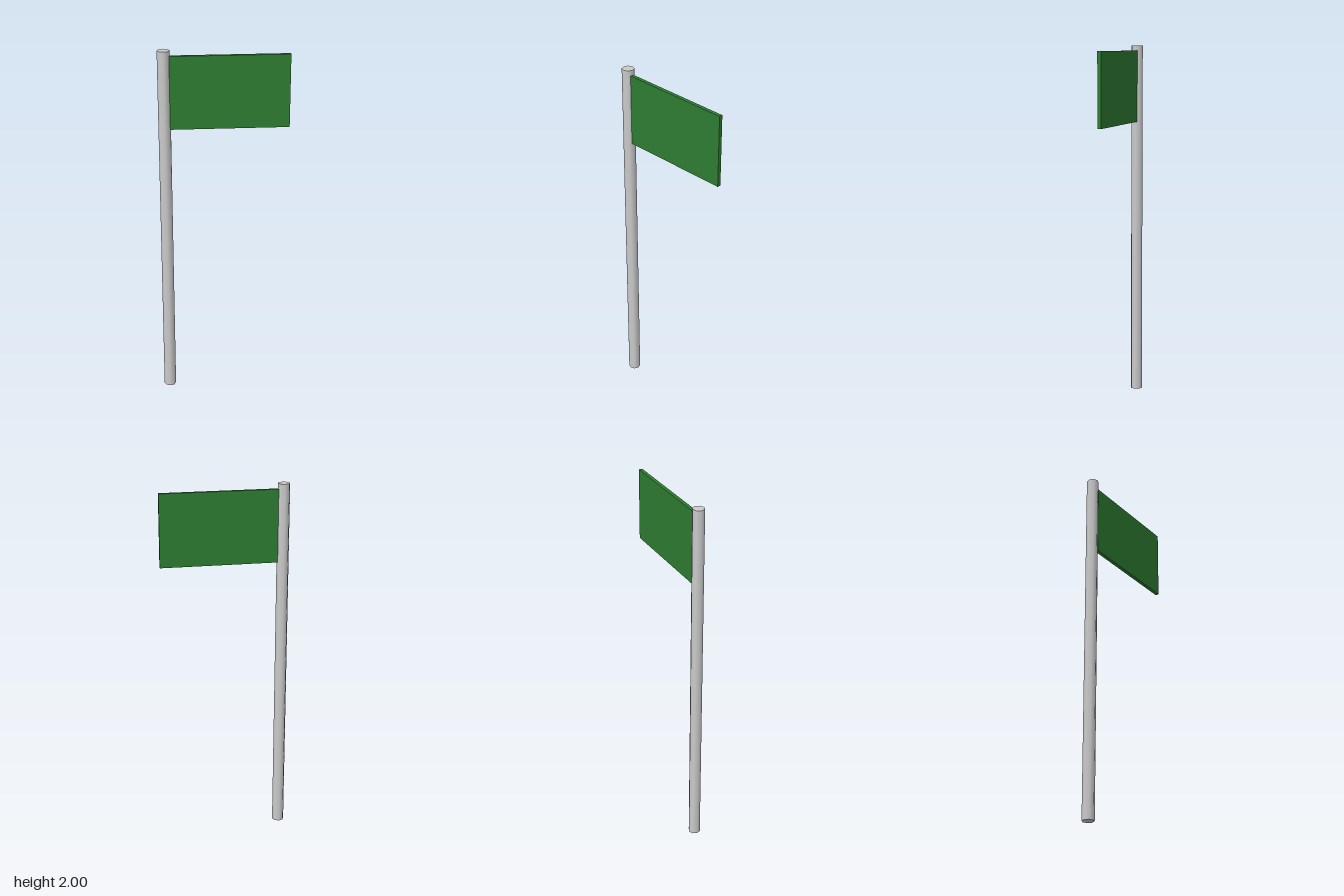
import * as THREE from 'three';

const POLE_X = -0.3167;
const POLE_RADIUS = 0.0333;

export function createModel() {
  const group = new THREE.Group();
  group.name = 'signPost';

  const add = (name, geometry, color, x, y) => {
    const mesh = new THREE.Mesh(geometry, new THREE.MeshStandardMaterial({ color }));
    mesh.name = name;
    mesh.position.set(x, y, 0);
    group.add(mesh);
  };

  // Eight-sided pole, smooth around its length, closed at both ends
  add('pole', new THREE.CylinderGeometry(POLE_RADIUS, POLE_RADIUS, 2, 8), 0xcccccc, POLE_X, 1);

  // Thin rectangular panel running from the pole's axis out to the left
  const width = 0.35 - POLE_X;
  add('signPanel', new THREE.BoxGeometry(width, 0.4, 0.02), 0x2e7d32, POLE_X + width / 2, 1.77);

  return group;
}
